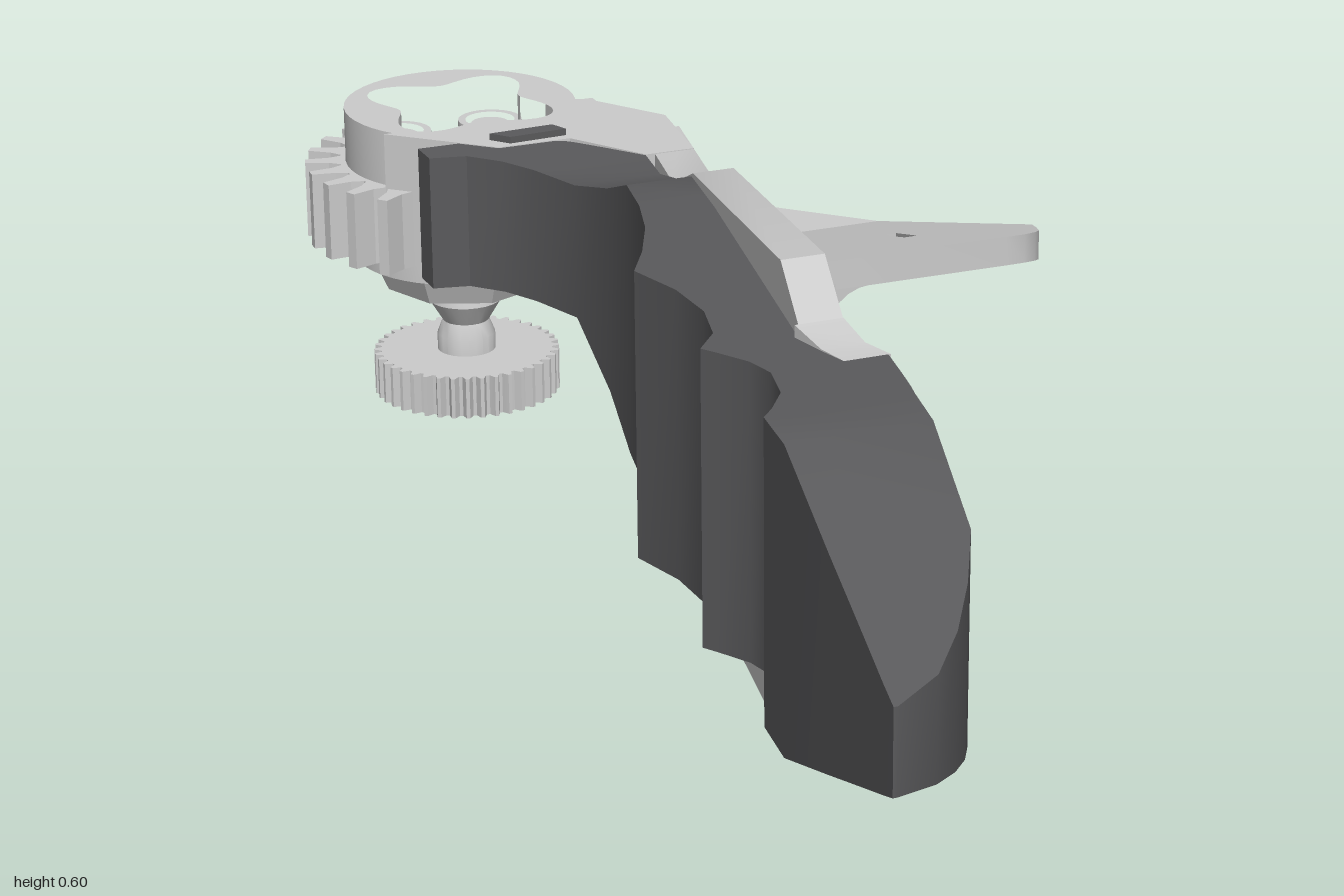
import * as THREE from 'three';
import { toCreasedNormals } from 'three/addons/utils/BufferGeometryUtils.js';

const grey = new THREE.MeshStandardMaterial({ color: 0xcccccc });
const dark = new THREE.MeshStandardMaterial({ color: 0x5a5a5c });
const HX = -0.13, HZ = -0.815; // hub axis

function add(parent, name, geometry, material = grey, crease = 0.5) {
  const mesh = new THREE.Mesh(toCreasedNormals(geometry, crease), material);
  mesh.name = name;
  parent.add(mesh);
  return mesh;
}

// Extrude an [x, z] outline upward from y0 to y1
function plan(points, y0, y1, holes = []) {
  const v = (list) => list.map(([x, z]) => new THREE.Vector2(x, -z));
  const shape = new THREE.Shape(v(points));
  for (const h of holes) shape.holes.push(new THREE.Path(v(h)));
  return new THREE.ExtrudeGeometry(shape, { depth: y1 - y0, bevelEnabled: false })
    .rotateX(-Math.PI / 2).translate(0, y0, 0);
}

// Outline from a radius rule, angle in the x-z plane
function polar(radius, n, a0 = 0, a1 = Math.PI * 2, cx = 0, cz = 0) {
  const out = [];
  for (let i = 0; i < n; i++) {
    const a = a0 + (a1 - a0) * i / n, r = radius(a, i);
    out.push([cx + r * Math.cos(a), cz + r * Math.sin(a)]);
  }
  return out;
}

// Skin rings of [x, y] corners, rows running from +z to -z
function loft(rows) {
  const pos = [], n = rows[0].ring.length;
  const p = (i, k) => [...rows[i].ring[k % n], rows[i].z];
  const last = rows.length - 1;
  for (let i = 0; i < last; i++) {
    for (let k = 0; k < n; k++) {
      pos.push(...p(i, k), ...p(i + 1, k), ...p(i + 1, k + 1));
      pos.push(...p(i, k), ...p(i + 1, k + 1), ...p(i, k + 1));
    }
  }
  for (let k = 1; k < n - 1; k++) {
    pos.push(...p(0, 0), ...p(0, k), ...p(0, k + 1));
    pos.push(...p(last, 0), ...p(last, k + 1), ...p(last, k));
  }
  const g = new THREE.BufferGeometry();
  g.setAttribute('position', new THREE.Float32BufferAttribute(pos, 3));
  return g;
}
const rect = (z, xl, xr, yb, yt) => ({ z, ring: [[xl, yb], [xr, yb], [xr, yt], [xl, yt]] });

// Shared surfaces: outer face of the web, top and underside of the wing
const webX = (z) => -0.014 - 0.196 * z;
const wingTop = (z) => 0.355 + Math.max(0, z + 0.47) * 0.32;
const wingLow = (z) => 0.30 + Math.max(0, z + 0.47) * 0.347;

function buildJaw(group) {
  const top = (z) => Math.min(0.535, 0.4 + (1 - z) * 0.365, Math.max(0.48, 0.535 + (z + 0.25) * 0.42));
  const low = (z) => Math.max(0.17, 0.3 - (1 - z) * 0.351, Math.min(0.3, 0.17 - (z + 0.23) * 0.684));
  // z, gripping edge x, back edge x
  const edge = [
    [1, -0.323, -0.318], [0.97, -0.32, -0.26], [0.92, -0.314, -0.215], [0.86, -0.307, -0.175],
    [0.79, -0.299, -0.138], [0.63, -0.279, -0.106], [0.55, -0.268, -0.09], [0.53, -0.25, -0.085],
    [0.49, -0.222, -0.077], [0.43, -0.208, -0.066], [0.39, -0.216, -0.1], [0.35, -0.238, -0.135],
    [0.33, -0.25, -0.125], [0.29, -0.218, -0.112], [0.22, -0.2, -0.1], [0.14, -0.202, -0.088],
    [0.06, -0.222, -0.075], [0, -0.188, -0.065], [-0.08, -0.152, -0.052], [-0.16, -0.128, -0.039],
    [-0.24, -0.113, -0.026], [-0.32, -0.108, -0.012], [-0.42, -0.114, 0.004], [-0.5, -0.14, 0.016],
    [-0.55, -0.165, -0.02], [-0.59, -0.2, -0.05], [-0.6, -0.248, -0.06], [-0.645, -0.248, -0.15],
  ];
  add(group, 'grippingJaw', loft(edge.map(([z, xl, xr]) => rect(z, xl, xr, low(z), top(z)))), dark);
}

function buildWeb(group) {
  // Slanted web, drawn in side profile as [z, y] and sheared along its length
  const side = [[0.34, 0.55], [0.25, 0.595], [-0.25, 0.535], [-0.38, 0.48], [-0.6, 0.48], [-0.6, 0.3],
    [-0.42, 0.3], [-0.01, 0], [0.25, 0], [0.275, 0.07], [0.3, 0.125], [0.34, 0.16]];
  const slot = [[0.06, 0.275], [-0.06, 0.235], [-0.06, 0.218], [0.06, 0.258]];
  const v = (list) => list.map(([z, y]) => new THREE.Vector2(-z, y));
  const shape = new THREE.Shape(v(side));
  shape.holes.push(new THREE.Path(v(slot)));
  const g = new THREE.ExtrudeGeometry(shape, { depth: 0.055, bevelEnabled: false }).rotateY(Math.PI / 2);
  const p = g.attributes.position;
  for (let i = 0; i < p.count; i++) p.setX(i, p.getX(i) - 0.055 + webX(p.getZ(i)));
  add(group, 'web', g);
  // Flare where the web meets the tip
  add(group, 'webFlare', loft([
    rect(0.43, -0.12, -0.063, 0.17, 0.535), rect(0.39, -0.13, -0.076, 0.17, 0.537),
    rect(0.34, -0.14, -0.08, 0.16, 0.55)]));
  // Rounded fillet under the wing
  add(group, 'wingFillet', loft([0.26, -0.42].map((z) => {
    const x = webX(z), y = wingLow(z), r = z > 0 ? 0.055 : 0.03, ring = [[x - 0.01, y + 0.01]];
    for (let i = 0; i <= 6; i++) {
      const a = i * Math.PI / 12;
      ring.push([x + r * (1 - Math.cos(a)), y - r * (1 - Math.sin(a))]);
    }
    return { z, ring };
  })));
}

function buildWing(group) {
  const outline = [[-0.1, 0.25], [-0.06, 0.258], [-0.02, 0.27], [0.15, 0.285], [0.175, 0.283], [0.195, 0.27],
    [0.21, 0.25], [0.24, 0.185], [0.272, 0.11], [0.337, -0.47], [0.05, -0.47]];
  const slot = [[0.182, -0.125], [0.2, -0.12], [0.172, 0], [0.155, 0]];
  const g = plan(outline, 0, 1, [slot]);
  const p = g.attributes.position;
  for (let i = 0; i < p.count; i++) {
    const z = p.getZ(i);
    p.setY(i, p.getY(i) > 0.5 ? wingTop(z) : wingLow(z));
  }
  add(group, 'wing', g);
  add(group, 'wingRoot', plan([[0.05, -0.47], [0.337, -0.47], [0.04, -0.78], [0, -0.75]], 0.3, 0.355));
}

function buildHub(group) {
  const hub = new THREE.Group();
  hub.name = 'hub';
  hub.position.set(HX, 0, HZ);
  group.add(hub);
  const disc = (r, n = 48) => polar(() => r, n);
  const clover = polar((a) => 0.085 + 0.051 * Math.sin(2 * a) ** 2, 64);

  add(hub, 'hubBase', plan(disc(0.157), 0.3, 0.38));
  add(hub, 'hubRim', plan(disc(0.157), 0.38, 0.48, [clover]));
  add(hub, 'hubFlange', plan(disc(0.148), 0.27, 0.3));
  add(hub, 'centreBoss', plan(disc(0.042, 24), 0.38, 0.43, [disc(0.027, 24)]));

  // Four screw cups with hex socket bolts
  for (const sx of [-1, 1]) for (const sz of [-1, 1]) {
    const x = sx * 0.066, z = sz * 0.066;
    add(hub, 'screwCup', plan(disc(0.044, 24), 0.38, 0.43, [disc(0.034, 24)]).translate(x, 0, z));
    add(hub, 'screw', plan(disc(0.026, 20), 0.38, 0.425, [disc(0.014, 6)]).translate(x, 0, z));
  }

  // Gear sector on the inner side
  const a0 = 2.3, a1 = 4.32, teeth = 8, sector = [];
  for (let i = 0; i < teeth; i++) {
    const pitch = (a1 - a0) / teeth;
    [[0.05, 0.165], [0.25, 0.18], [0.36, 0.212], [0.64, 0.212], [0.75, 0.18], [0.95, 0.165]].forEach(([f, r]) => {
      const a = a0 + (i + f) * pitch;
      sector.push([r * Math.cos(a), r * Math.sin(a)]);
    });
  }
  sector.push(...polar(() => 0.145, 16, a1, a0));
  add(hub, 'gearSector', plan(sector, 0.3, 0.405), grey, 0.3);

  // Small hooked catch on the outer side
  add(hub, 'catch', plan([[0.14, -0.045], [0.185, -0.02], [0.2, -0.02], [0.2, 0.03], [0.185, 0.03],
    [0.185, 0], [0.14, -0.015]], 0.43, 0.457));

  // Nut, shaft and knurled knob below
  add(hub, 'nut', new THREE.CylinderGeometry(0.13, 0.11, 0.045, 8).translate(0, 0.25, 0), grey, 0.1);
  add(hub, 'shaft', new THREE.LatheGeometry([[0.04, 0.11], [0.04, 0.15], [0.032, 0.17], [0.05, 0.2], [0.04, 0.24]]
    .map(([r, y]) => new THREE.Vector2(r, y)), 24));
  const knurl = polar((a, i) => (i % 4 < 2 ? 0.128 : 0.118), 160);
  add(hub, 'knobRim', plan(knurl, 0.07, 0.11, [disc(0.095)]), grey, 0.3);
  add(hub, 'knobTop', plan(knurl, 0.11, 0.127), grey, 0.3);
  add(hub, 'knobNut', plan(disc(0.05, 6), 0.066, 0.11, [disc(0.022, 16)]));
}

export function createModel() {
  const model = new THREE.Group();
  model.name = 'gripperFinger';
  buildJaw(model);
  buildWeb(model);
  buildWing(model);
  // Arm joining the web to the hub
  add(model, 'arm', plan([[0.016, -0.5], [0.084, -0.5], [0.104, -0.65], [0.04, -0.75], [0.01, -0.77],
    [-0.02, -0.72], [-0.08, -0.68], [-0.18, -0.68], [-0.24, -0.72], [-0.27, -0.72],
    [-0.15, -0.605], [-0.05, -0.605]], 0.3, 0.481));
  // Latch block on the arm
  add(model, 'latch', plan([[-0.15, -0.64], [-0.06, -0.645], [-0.05, -0.62], [-0.13, -0.615]], 0.47, 0.49), dark);
  buildHub(model);
  return model;
}
